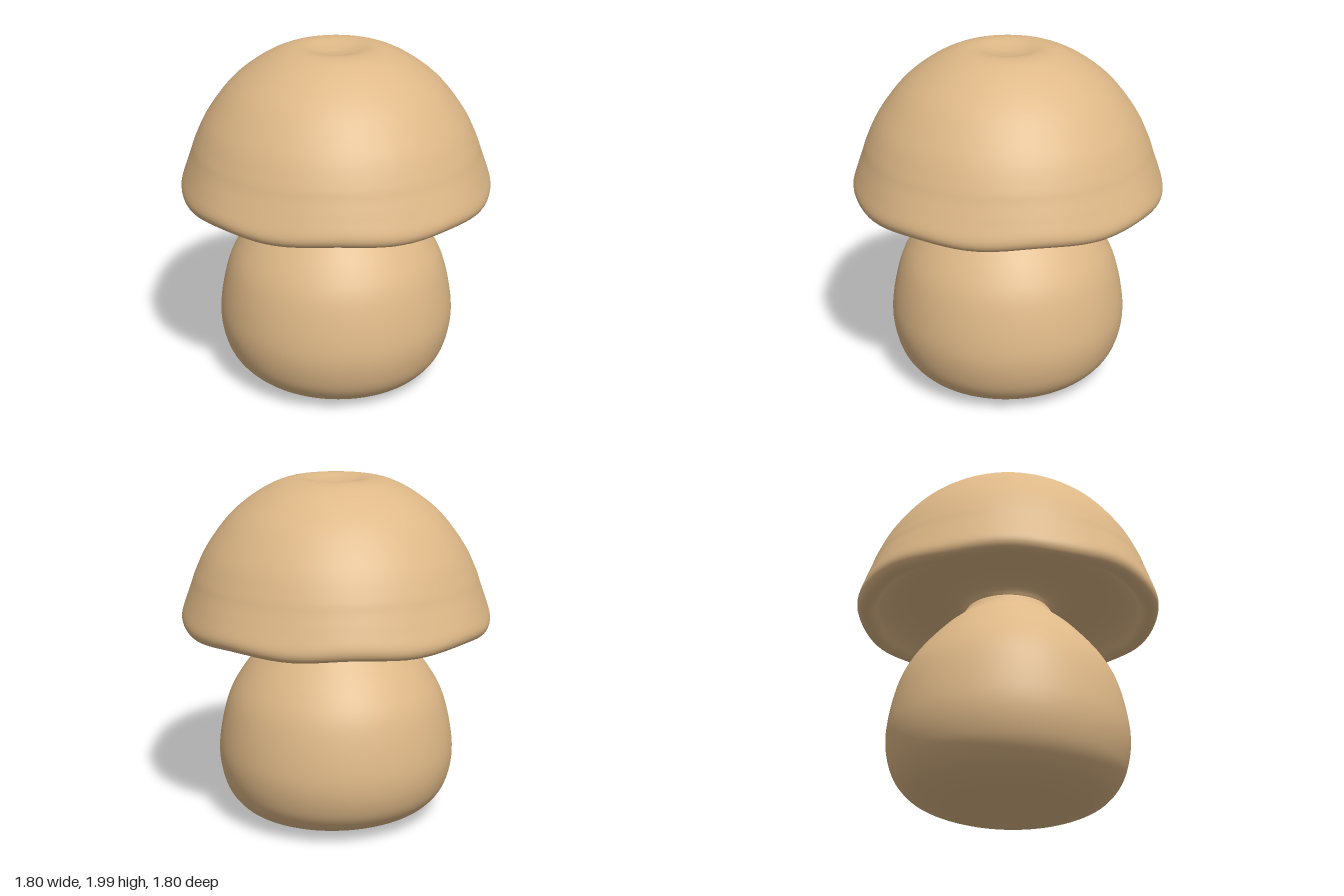
import * as THREE from 'three';
import { mergeVertices } from 'three/addons/utils/BufferGeometryUtils.js';

const material = new THREE.MeshStandardMaterial({ color: 0xdeb887 });

// Smooth lathe through a few [radius, height] points, then bent by a rule
function softLathe(name, profile, bend) {
  const curve = new THREE.SplineCurve(profile.map(([r, y]) => new THREE.Vector2(r, y)));
  const points = curve.getPoints(90);
  points.forEach((p) => { p.x = Math.max(p.x, 0); });
  let geometry = new THREE.LatheGeometry(points, 96);
  geometry.deleteAttribute('uv');
  geometry.deleteAttribute('normal');

  const position = geometry.attributes.position;
  const v = new THREE.Vector3();
  for (let i = 0; i < position.count; i++) {
    v.fromBufferAttribute(position, i);
    bend(v, Math.atan2(v.z, v.x), Math.hypot(v.x, v.z));
    position.setXYZ(i, v.x, v.y, v.z);
  }
  geometry = mergeVertices(geometry, 1e-5);
  geometry.computeVertexNormals();

  const mesh = new THREE.Mesh(geometry, material);
  mesh.name = name;
  return mesh;
}

export function createModel() {
  const group = new THREE.Group();
  group.name = 'mushroom';

  // Bulbous stem with a shallow hollow underneath, tapering to the neck
  const stem = softLathe('stem', [
    [0, 0.025], [0.2, 0.021], [0.36, 0.017], [0.47, 0.04], [0.58, 0.1], [0.66, 0.22],
    [0.69, 0.42], [0.64, 0.69], [0.55, 0.87], [0.4, 1.05], [0.29, 1.15], [0.25, 1.21],
  ], (v) => {
    // The foot dips a little toward the front
    const foot = Math.max(0, 1 - v.y / 0.3);
    v.y -= 0.03 * v.z * foot;
  });

  // Cap: flared underside, rolled rim, dome and dimpled crown
  const cap = softLathe('cap', [
    [0.25, 1.21], [0.28, 1.25], [0.36, 1.28], [0.5, 1.29], [0.65, 1.275], [0.75, 1.22],
    [0.8, 1.17], [0.84, 1.155], [0.88, 1.17], [0.895, 1.22], [0.865, 1.31], [0.83, 1.4],
    [0.8, 1.48], [0.73, 1.62], [0.6, 1.79], [0.45, 1.91], [0.31, 1.98], [0.2, 1.997],
    [0.1, 1.978], [0, 1.968],
  ], (v, angle, radius) => {
    // Gentle lobes and waves along the rim
    const rim = THREE.MathUtils.smoothstep(radius, 0.6, 0.85) * (1 - THREE.MathUtils.smoothstep(v.y, 1.2, 1.5));
    const scale = 1 + rim * (0.007 * Math.cos(4 * angle) - 0.003);
    v.x *= scale;
    v.z *= scale;
    v.y += rim * 0.008 * Math.cos(8 * angle + 0.4);
  });

  group.add(stem, cap);
  return group;
}
